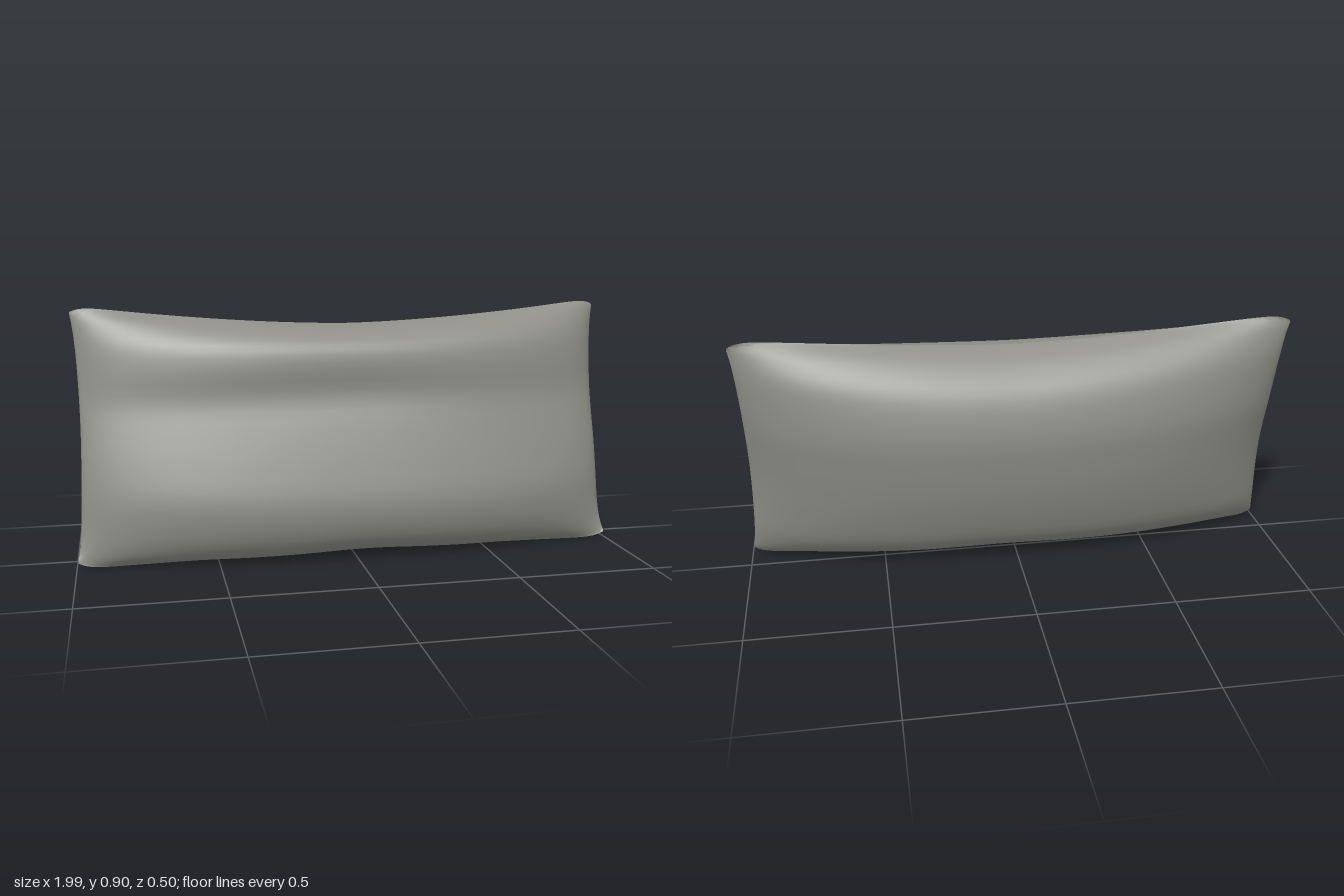
import * as THREE from 'three';
import { mergeGeometries, mergeVertices, toCreasedNormals } from 'three/addons/utils/BufferGeometryUtils.js';

const curve = pts => new THREE.SplineCurve(pts.map(p => new THREE.Vector2(p[0], p[1])));

// Side profiles as [z, y], running from the bottom seam to the top seam
const endSeam = curve([[0.1, 0.005], [0.08, 0.05], [0.06, 0.13], [0.045, 0.25], [0.025, 0.37], [-0.005, 0.48],
  [-0.035, 0.58], [-0.06, 0.69], [-0.08, 0.79], [-0.092, 0.87], [-0.1, 0.92]]);
const frontMiddle = curve([[0.07, 0.005], [0.16, 0.025], [0.225, 0.1], [0.25, 0.22], [0.215, 0.36], [0.175, 0.48],
  [0.142, 0.59], [0.14, 0.7], [0.115, 0.78], [0.04, 0.83], [-0.05, 0.845]]);
const backMiddle = curve([[0.07, 0.005], [-0.04, 0.025], [-0.13, 0.1], [-0.185, 0.22], [-0.22, 0.34], [-0.24, 0.45],
  [-0.25, 0.55], [-0.235, 0.65], [-0.2, 0.73], [-0.13, 0.8], [-0.05, 0.845]]);

// One fabric panel, blended from the flat end seams to the plump middle
function panel(middle, isFront) {
  const geo = new THREE.PlaneGeometry(1, 1, 72, 48);
  const pos = geo.attributes.position;
  for (let i = 0; i < pos.count; i++) {
    const u = Math.sin(pos.getX(i) * Math.PI);
    const v = 0.5 - 0.5 * Math.cos((pos.getY(i) + 0.5) * Math.PI);
    const a = Math.min(1, Math.abs(u));
    const puff = Math.pow(1 - Math.pow(a, 2.5), 0.65);
    const sag = 1 - Math.pow(a, 1.6);
    const e = endSeam.getPoint(v), m = middle.getPoint(v);

    // Sides pinch inward between slightly rounded corners
    const edge = 1 - 0.03 * Math.pow(Math.max(0, Math.sin(Math.PI * v)), 0.8)
      - 0.012 * Math.pow(Math.abs(2 * v - 1), 40);
    let y = THREE.MathUtils.lerp(e.y, m.y, sag);
    y += 0.02 * Math.pow(a, 30) * (1 - 2 * v);
    // Bottom edge lifts a little in the middle
    y += 0.025 * Math.exp(-Math.pow((u - 0.04) / 0.25, 2)) * Math.pow(1 - v, 6);
    let z = THREE.MathUtils.lerp(e.x, m.x, puff);
    // Shallow hollow in the front
    if (isFront) z -= 0.012 * Math.exp(-Math.pow((u + 0.05) / 0.4, 2) - Math.pow((y - 0.62) / 0.08, 2));
    pos.setXYZ(i, u * edge, y, z);
  }
  if (!isFront) { // face the back panel outward
    const idx = geo.index;
    for (let i = 0; i < idx.count; i += 3) {
      const b = idx.getX(i + 1);
      idx.setX(i + 1, idx.getX(i + 2));
      idx.setX(i + 2, b);
    }
  }
  geo.deleteAttribute('uv');
  geo.deleteAttribute('normal');
  return geo;
}

export function createModel() {
  const group = new THREE.Group();
  group.name = 'pillow';
  const fabric = new THREE.MeshStandardMaterial({ color: 0x8f8f88, side: THREE.DoubleSide });
  fabric.name = 'greyFabric';

  // Weld the panels so the seam is sharp at the ends and soft along the middle
  const shell = mergeVertices(mergeGeometries([panel(frontMiddle, true), panel(backMiddle, false)]), 1e-5);
  const cushion = new THREE.Mesh(toCreasedNormals(shell, 0.9), fabric);
  cushion.name = 'cushion';
  group.add(cushion);
  return group;
}
